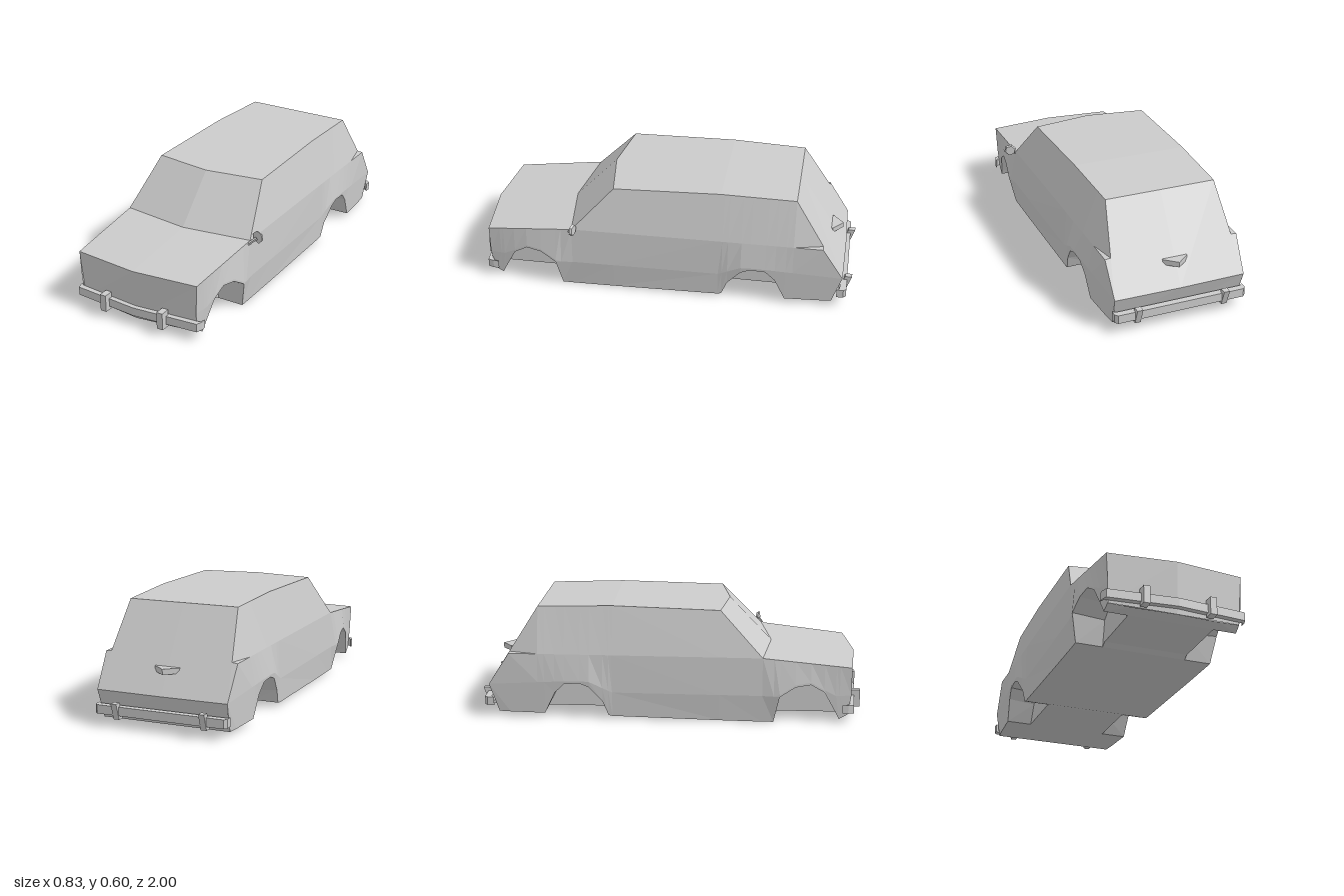
import * as THREE from 'three';

const mat = new THREE.MeshStandardMaterial({ color: 0xcccccc, flatShading: true, side: THREE.DoubleSide });

// Skin a list of equal-length rows of [x, y, z] points; flip reverses the facing.
function loft(rows, flip = false) {
  const pos = [];
  for (let i = 0; i + 1 < rows.length; i++) {
    for (let j = 0; j + 1 < rows[i].length; j++) {
      const a = rows[i][j], b = rows[i + 1][j], c = rows[i + 1][j + 1], d = rows[i][j + 1];
      const tris = flip ? [a, c, b, a, d, c] : [a, b, c, a, c, d];
      for (const p of tris) pos.push(...p);
    }
  }
  const g = new THREE.BufferGeometry();
  g.setAttribute('position', new THREE.Float32BufferAttribute(pos, 3));
  g.computeVertexNormals();
  return g;
}

function add(parent, name, geometry, x = 0, y = 0, z = 0) {
  const m = new THREE.Mesh(geometry, mat);
  m.name = name;
  m.position.set(x, y, z);
  parent.add(m);
  return m;
}

// Profiles run front to back as [z, half width, height]; at() reads between the points.
const ROOF = [[0.94, 0.35, 0.30], [0.48, 0.37, 0.35], [0.26, 0.31, 0.585], [-0.30, 0.30, 0.60], [-0.69, 0.29, 0.59], [-0.95, 0.345, 0.18]];
const BELT = [[0.94, 0.35, 0.35], [0.48, 0.37, 0.35], [-0.30, 0.358, 0.35], [-0.95, 0.35, 0.35]];
const WAIST = [[0.94, 0.343, 0.15], [0.57, 0.39, 0.15], [0.48, 0.377, 0.15], [-0.30, 0.363, 0.15], [-0.42, 0.378, 0.21], [-0.55, 0.374, 0.21], [-0.95, 0.345, 0.18]];
const SILL = [[0.94, 0.335], [0.54, 0.36], [-0.655, 0.355], [-0.95, 0.335]];
function at(profile, z) {
  const i = Math.max(1, profile.findIndex((p) => p[0] <= z));
  const a = profile[i - 1], b = profile[i];
  const t = (z - a[0]) / (b[0] - a[0]);
  return a.slice(1).map((v, k) => THREE.MathUtils.lerp(v, b[k + 1], t));
}

// Lower edge of the side as [z, height], with both wheel arches.
const EDGE = [
  [0.94, 0.045], [0.88, 0.02],
  [0.86, 0.06], [0.80, 0.17], [0.73, 0.212], [0.65, 0.2], [0.57, 0.15],
  [0.54, 0.005], [0.48, 0.005], [0.26, 0.008], [-0.30, 0.02], [-0.32, 0.025],
  [-0.35, 0.1], [-0.42, 0.18], [-0.47, 0.2], [-0.55, 0.195], [-0.60, 0.145],
  [-0.655, 0.03], [-0.69, 0.03], [-0.84, 0.03], [-0.95, 0.03],
];
const WELL = 0.22; // half width between the wheel wells

// Floor, wheel well, arch and side wall of one half of the body.
function halfSection([z, yLow], s) {
  const nose = z === 0.94, tail = z === -0.95;
  const roof = at(ROOF, z);
  const belt = roof[1] < 0.352 ? roof : at(BELT, z);
  const [waistW, waistY] = at(WAIST, z);
  const [sillW] = at(SILL, z);
  const lowW = THREE.MathUtils.lerp(sillW, waistW, Math.min(1, yLow / waistY));
  const zLow = tail ? -0.9 : nose ? 0.925 : z;
  const yFloor = nose ? 0.036 : Math.min(yLow, z < -0.3 ? 0.03 : 0.02);
  const yWell = yLow < 0.05 ? yFloor : yLow - 0.012;
  const zWell = nose ? 0.937 : zLow;
  return [
    [0, nose ? 0.03 : yFloor, nose ? 0.955 : zLow],
    [s * WELL, yFloor, zWell],
    [s * WELL, yWell, zWell],
    [s * lowW, yLow, zLow],
    [s * waistW, Math.max(waistY, yLow + 0.012), z],
    [s * belt[0], belt[1], z],
    [s * roof[0], roof[1], z],
  ];
}

// Upper skin rows: the roof profile's corners with a bowed centre line, closed at nose and tail.
const bow = [0.035, 0.05, 0.045, 0, 0, -0.005];
const upper = [
  [[-0.335, 0.045, 0.925], [0, 0.03, 0.955], [0.335, 0.045, 0.925]],
  ...ROOF.map(([z, w, y], i) => [[-w, y, z], [0, y, z + bow[i]], [w, y, z]]),
  [[-0.335, 0.03, -0.9], [0, 0.03, -0.9], [0.335, 0.03, -0.9]],
];

// Bumper bar: a box section swept through [x, z] points.
function bar(path, y0, y1, depth) {
  const ring = ([x, z]) => [[x, y0, z], [x, y1, z], [x, y1, z - depth], [x, y0, z - depth], [x, y0, z]];
  const end = ([x, z]) => Array(5).fill([x, (y0 + y1) / 2, z - depth / 2]);
  return loft([end(path[0]), ...path.map(ring), end(path[path.length - 1])], true);
}

export function createModel() {
  const model = new THREE.Group();
  const car = new THREE.Group();
  car.name = 'car';
  car.position.x = -0.025;
  model.add(car);

  for (const s of [1, -1]) {
    add(car, s > 0 ? 'leftBodySide' : 'rightBodySide',
      loft(EDGE.map((e) => halfSection(e, s)), s < 0));
  }
  const names = ['grille', 'hood', 'windscreen', 'frontRoof', 'rearRoof', 'tailgate', 'rearPanel'];
  names.forEach((name, i) => add(car, name, loft([upper[i], upper[i + 1]], true)));

  // Bumpers with upright guards
  add(car, 'frontBumper', bar([[-0.365, 0.925], [-0.355, 0.955], [0, 0.985], [0.355, 0.955], [0.365, 0.925]], 0.058, 0.102, 0.03));
  add(car, 'rearBumper', bar([[-0.35, -0.925], [-0.335, -0.94], [0.335, -0.94], [0.35, -0.925]], 0.065, 0.11, 0.035));
  for (const s of [1, -1]) {
    add(car, 'frontBumperGuard', new THREE.BoxGeometry(0.034, 0.09, 0.05), s * 0.17, 0.085, 0.975);
    const guard = new THREE.BoxGeometry(0.03, 0.085, 0.036);
    const p = guard.attributes.position;
    for (let i = 0; i < p.count; i++) p.setZ(i, p.getZ(i) - p.getY(i) * 0.35);
    add(car, 'rearBumperGuard', guard, s * 0.232, 0.087, -0.967);
  }

  // Wedge handle on the tailgate
  const wedge = new THREE.Shape([[-0.065, 0.86], [0.065, 0.86], [0.065, 0.878], [0, 0.932], [-0.065, 0.878]]
    .map(([x, y]) => new THREE.Vector2(x, y)));
  const handle = new THREE.ExtrudeGeometry(wedge, { depth: 0.028, bevelEnabled: false });
  handle.rotateX(-Math.PI / 2);
  add(car, 'tailgateHandle', handle, 0, 0.282, 0);

  // Door mirror on the left side
  const plate = new THREE.CylinderGeometry(0.034, 0.028, 0.012, 6);
  plate.rotateX(Math.PI / 2);
  const mirror = add(car, 'mirrorPlate', plate, 0.408, 0.372, 0.462);
  mirror.rotation.set(0, -0.25, 0.25);
  const stem = new THREE.LineCurve3(new THREE.Vector3(0.366, 0.335, 0.495), new THREE.Vector3(0.402, 0.366, 0.467));
  add(car, 'mirrorStem', new THREE.TubeGeometry(stem, 1, 0.008, 4));

  return model;
}
